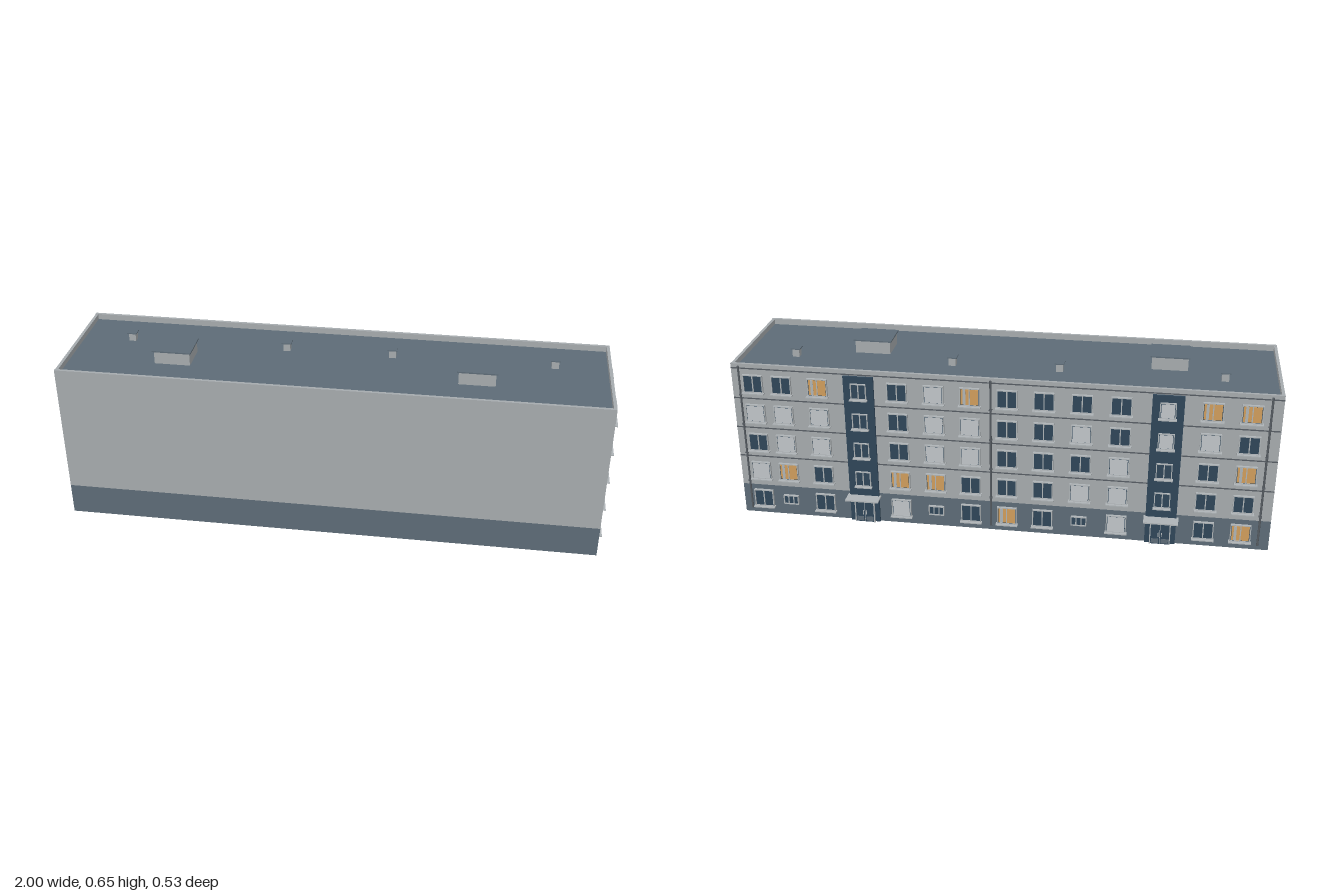
import * as THREE from 'three';

const mat = (name, color) => {
  const m = new THREE.MeshStandardMaterial({ color });
  m.name = name;
  return m;
};
const M = {
  wall: mat('wall grey', 0xa5aaad),
  trim: mat('trim grey', 0xaeb3b6),
  slate: mat('slate', 0x5d6b76),
  navy: mat('navy glass', 0x2f4558),
  lit: mat('lit window', 0xcf9c5b),
  seam: mat('seam grey', 0x565c62),
};

const X0 = -1, X1 = 0.98, Z0 = -0.21, Z1 = 0.265;
const ROOF = 0.595, TOP = 0.615, BASE = 0.12;
const PITCH = 0.119, ROW0 = 0.066;

// Box given by its centre and size
function box(parent, name, m, x, y, z, w, h, d) {
  const mesh = new THREE.Mesh(new THREE.BoxGeometry(w, h, d), m);
  mesh.position.set(x, y, z);
  mesh.name = name;
  parent.add(mesh);
  return mesh;
}
// Box given by its limits
function span(parent, name, m, x0, x1, y0, y1, z0, z1) {
  return box(parent, name, m, (x0 + x1) / 2, (y0 + y1) / 2, (z0 + z1) / 2, x1 - x0, y1 - y0, z1 - z0);
}

// Rectangular border of four bars
function frame(g, w, h, t, z, d) {
  for (const s of [-1, 1]) {
    box(g, 'frameSide', M.trim, s * (w - t) / 2, 0, z, t, h, d);
    box(g, 'frameRail', M.trim, 0, s * (h - t) / 2, z, w - 2 * t, t, d);
  }
}

// Window facing +z. Kinds: B dark, O lit, L closed blind, S small vent
function makeWindow(kind, w = 0.074, h = 0.07) {
  const g = new THREE.Group();
  g.name = 'window';
  if (kind === 'S') { w = 0.058; h = 0.038; }
  box(g, 'glass', M.navy, 0, 0, 0.003, w - 0.003, h - 0.003, 0.006);
  frame(g, w, h, 0.0035, 0.005, 0.01);
  if (kind === 'S') {
    for (const s of [-1, 1]) box(g, 'bar', M.trim, s * w / 6, 0, 0.0065, 0.004, h - 0.007, 0.003);
    return g;
  }
  if (kind === 'L') {
    // Tilted slats
    const n = 8, step = (h - 0.011) / n;
    for (let i = 0; i < n; i++) {
      const s = box(g, 'slat', M.trim, 0, (i - (n - 1) / 2) * step, 0.0085, w - 0.011, step, 0.0015);
      s.rotation.x = -0.35;
    }
  } else {
    if (kind === 'O') {
      box(g, 'litPane', M.lit, 0, 0, 0.0065, w - 0.011, h - 0.011, 0.002);
      box(g, 'curtain', M.trim, -w * 0.26, 0, 0.0075, 0.01, h - 0.011, 0.002);
    }
    box(g, 'mullion', M.trim, 0, 0, 0.0075, 0.004, h - 0.007, 0.004);
  }
  box(g, 'sill', M.trim, 0, -h / 2 - 0.001, 0.01, w + 0.008, 0.004, 0.02);
  return g;
}

// Entrance with stair strip, facing +z, origin at ground level
function makeStair(kinds) {
  const g = new THREE.Group();
  g.name = 'stairway';
  span(g, 'stairStrip', M.navy, -0.056, 0.056, 0, ROOF, 0, 0.008);
  kinds.forEach((k, i) => {
    const w = makeWindow(k, 0.058, 0.062);
    w.position.set(0, ROW0 - 0.004 + (i + 1) * PITCH, 0.004);
    g.add(w);
  });
  // Double door
  span(g, 'door', M.navy, -0.035, 0.035, 0, 0.085, 0.008, 0.014);
  for (const s of [-1, 1]) {
    box(g, 'doorPost', M.trim, s * 0.036, 0.044, 0.012, 0.004, 0.088, 0.01);
    box(g, 'doorHandle', M.trim, s * 0.006, 0.04, 0.016, 0.003, 0.016, 0.004);
    box(g, 'doorKickPlate', M.slate, s * 0.018, 0.013, 0.0145, 0.026, 0.018, 0.002);
  }
  box(g, 'doorMeeting', M.trim, 0, 0.043, 0.014, 0.002, 0.086, 0.002);
  box(g, 'doorLintel', M.trim, 0, 0.087, 0.012, 0.076, 0.004, 0.01);
  span(g, 'canopy', M.trim, -0.063, 0.063, 0.105, 0.11, 0, 0.055);
  span(g, 'canopyBeam', M.trim, -0.045, 0.045, 0.101, 0.105, 0.004, 0.02);
  return g;
}

export function createModel() {
  const root = new THREE.Group();
  root.name = 'apartmentBlock';

  // Body and roof
  span(root, 'plinth', M.slate, X0, X1, 0, BASE, Z0, Z1);
  span(root, 'walls', M.wall, X0, X1, BASE, ROOF - 0.002, Z0, Z1);
  span(root, 'roof', M.slate, X0 + 0.01, X1 - 0.01, ROOF - 0.002, ROOF, Z0 + 0.01, Z1 - 0.01);
  const t = 0.011;
  span(root, 'parapet', M.wall, X0, X1, ROOF - 0.002, TOP + 0.002, Z1 - t, Z1);
  span(root, 'parapet', M.wall, X0, X1, ROOF - 0.002, TOP + 0.002, Z0, Z0 + t);
  span(root, 'parapet', M.wall, X0, X0 + t, ROOF - 0.002, TOP, Z0 + t, Z1 - t);
  span(root, 'parapet', M.wall, X1 - t, X1, ROOF - 0.002, TOP, Z0 + t, Z1 - t);

  // Roof houses and vents
  for (const x of [-0.604, 0.503]) {
    box(root, 'roofHouse', M.wall, x, (ROOF + 0.643) / 2, 0.067, 0.132, 0.643 - ROOF, 0.112);
    box(root, 'roofHouseCap', M.slate, x, 0.6455, 0.067, 0.144, 0.005, 0.123);
  }
  for (const x of [-0.802, -0.209, 0.186, 0.779]) {
    box(root, 'vent', M.wall, x, (ROOF + 0.625) / 2, -0.052, 0.026, 0.625 - ROOF, 0.026);
    box(root, 'ventCap', M.slate, x, 0.627, -0.052, 0.036, 0.004, 0.036);
  }

  // End wall windows, rows from the ground up
  [[0.147, 'BLBLL'], [-0.071, 'OBBBL']].forEach(([z, kinds]) => {
    [...kinds].forEach((k, i) => {
      const w = makeWindow(k);
      w.position.set(X1, ROW0 + i * PITCH, z);
      w.rotation.y = Math.PI / 2;
      root.add(w);
    });
  });

  // Back wall windows, rows from the ground up
  const columns = [0.9, 0.793, 0.657, 0.362, 0.228, 0.096, -0.039, -0.172, -0.307, -0.445, -0.762, -0.896];
  const rows = ['BSBLSBOBSLBO', 'LOBOOBBBLLBB', 'BLLBLLBBBLBO', 'LLLBLLBBLBLB', 'BBOBLOBBBBOO'];
  rows.forEach((row, r) => [...row].forEach((k, c) => {
    const w = makeWindow(k);
    w.position.set(columns[c], ROW0 + r * PITCH, Z0);
    w.rotation.y = Math.PI;
    root.add(w);
  }));

  // Stairways
  [[0.503, 'BBLL'], [-0.607, 'BBLL']].forEach(([x, kinds], i) => {
    const s = makeStair(i === 0 ? ['B', 'B', 'B', 'B'] : [...kinds]);
    s.position.set(x, 0, Z0);
    s.rotation.y = Math.PI;
    root.add(s);
  });

  // Panel seams on the back wall
  for (let i = 1; i < 5; i++) {
    box(root, 'floorSeam', M.seam, (X0 + X1) / 2, BASE + i * PITCH + 0.004, Z0 - 0.001, X1 - X0, 0.004, 0.003);
  }

  // Downpipes with brackets
  for (const x of [-0.96, 0.02, 0.95]) {
    const pipe = new THREE.Mesh(new THREE.CylinderGeometry(0.004, 0.004, 0.59, 8), M.seam);
    pipe.position.set(x, 0.315, Z0 - 0.006);
    pipe.name = 'downpipe';
    root.add(pipe);
    for (let i = 1; i < 5; i++) box(root, 'pipeBracket', M.seam, x, 0.021 + i * PITCH, Z0 - 0.006, 0.011, 0.004, 0.012);
  }
  return root;
}
